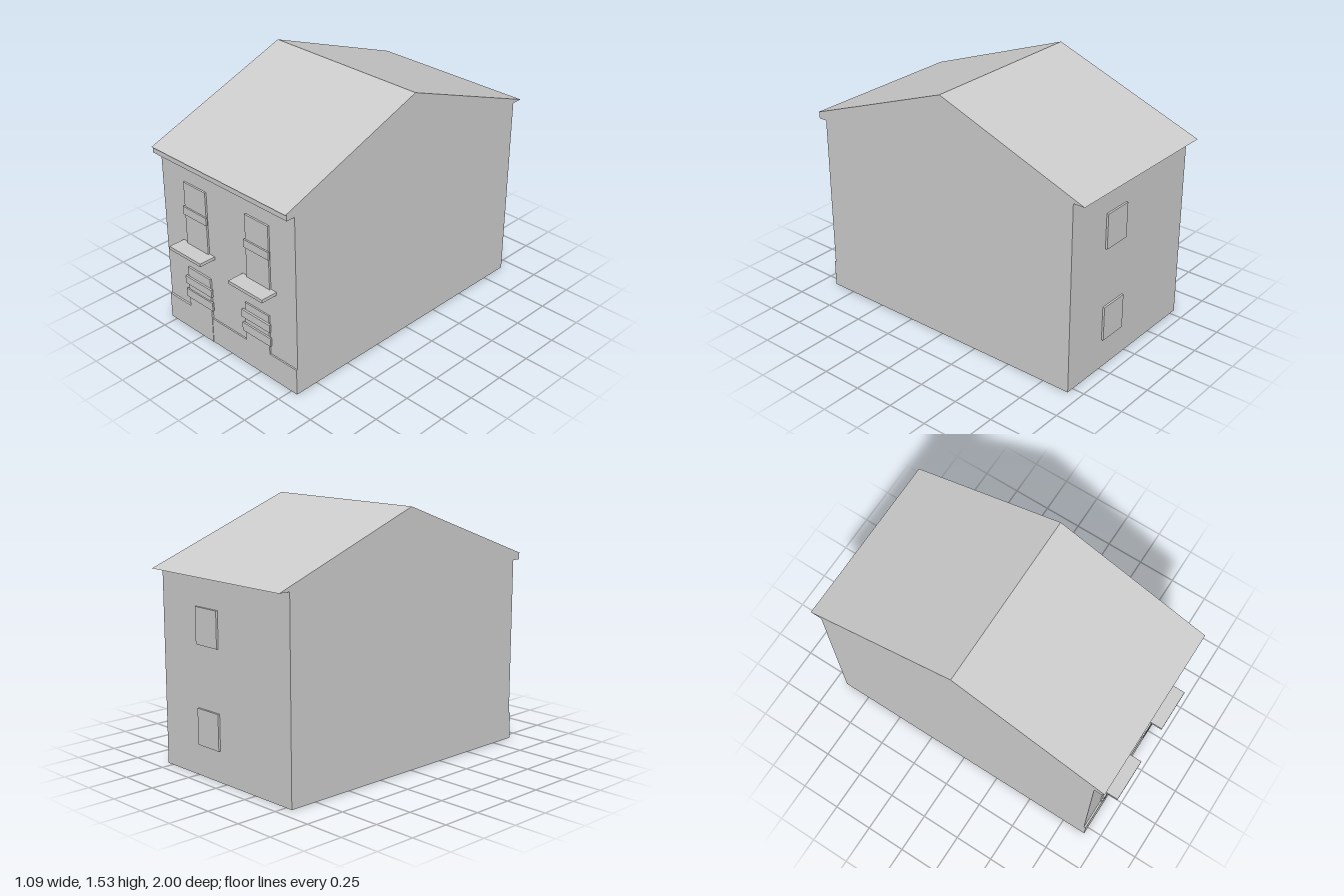
import * as THREE from 'three';

export function createModel() {
  const house = new THREE.Group();
  house.name = 'house';
  const grey = new THREE.MeshStandardMaterial({ color: 0xcccccc });
  grey.name = 'plain grey';

  const HALF = 0.545, FRONT = 0.893, BACK = -0.923, EAVES = 1.168;

  const add = (name, geometry) => {
    const mesh = new THREE.Mesh(geometry, grey);
    mesh.name = name;
    house.add(mesh);
  };
  // Box given by its limits on each axis
  const block = (name, x0, x1, y0, y1, z0, z1) => {
    const g = new THREE.BoxGeometry(x1 - x0, y1 - y0, z1 - z0);
    g.translate((x0 + x1) / 2, (y0 + y1) / 2, (z0 + z1) / 2);
    add(name, g);
  };
  const outline = (points) => new THREE.Shape(points.map(([a, b]) => new THREE.Vector2(a, b)));
  const extrude = (points, depth) =>
    new THREE.ExtrudeGeometry(outline(points), { depth, bevelEnabled: false });

  // Walls
  block('walls', -HALF, HALF, 0, EAVES, BACK, FRONT);

  // Gabled roof: triangle in z and y, swept along x
  const roof = extrude([[-0.995, EAVES], [0.957, EAVES], [-0.02, 1.53]], HALF * 2);
  roof.rotateY(-Math.PI / 2).translate(HALF, 0, 0);
  add('roof', roof);

  // Cornice under the front eaves
  block('cornice', -HALF, HALF, 1.13, EAVES, FRONT, 0.948);

  // Plinth in two pieces, each rising into a lower window panel
  const leftBase = extrude([[-HALF, 0], [-0.16, 0], [-0.16, 0.435], [-0.355, 0.435],
    [-0.355, 0.165], [-HALF, 0.165]], 0.012);
  const rightBase = extrude([[-0.16, 0], [HALF, 0], [HALF, 0.165], [0.33, 0.165],
    [0.33, 0.42], [0.135, 0.42], [0.135, 0.165], [-0.16, 0.165]], 0.009);
  add('rightPlinth', leftBase.translate(0, 0, FRONT));
  add('leftPlinth', rightBase.translate(0, 0, FRONT));

  // Bars across the lower windows
  for (const [x0, x1] of [[-0.37, -0.14], [0.12, 0.35]]) {
    block('lowerWindowBar', x0, x1, 0.23, 0.285, 0.902, 0.913);
    block('lowerWindowBar', x0, x1, 0.325, 0.375, 0.904, 0.917);
  }

  // Upper windows with a rail and a deep sill
  for (const s of [-1, 1]) {
    const x = s * 0.255;
    block('upperWindow', x - 0.092, x + 0.092, 0.6, 1.0, FRONT, 0.904);
    block('windowRail', x - 0.1, x + 0.1, 0.795, 0.845, 0.902, 0.913);
    block('windowSill', x - 0.136, x + 0.136, 0.582, 0.602, FRONT, 1.0);
  }

  // Back windows
  for (const [y0, y1] of [[0.185, 0.4], [0.77, 0.985]])
    block('backWindow', 0.05, 0.235, y0, y1, -0.935, BACK);

  return house;
}
